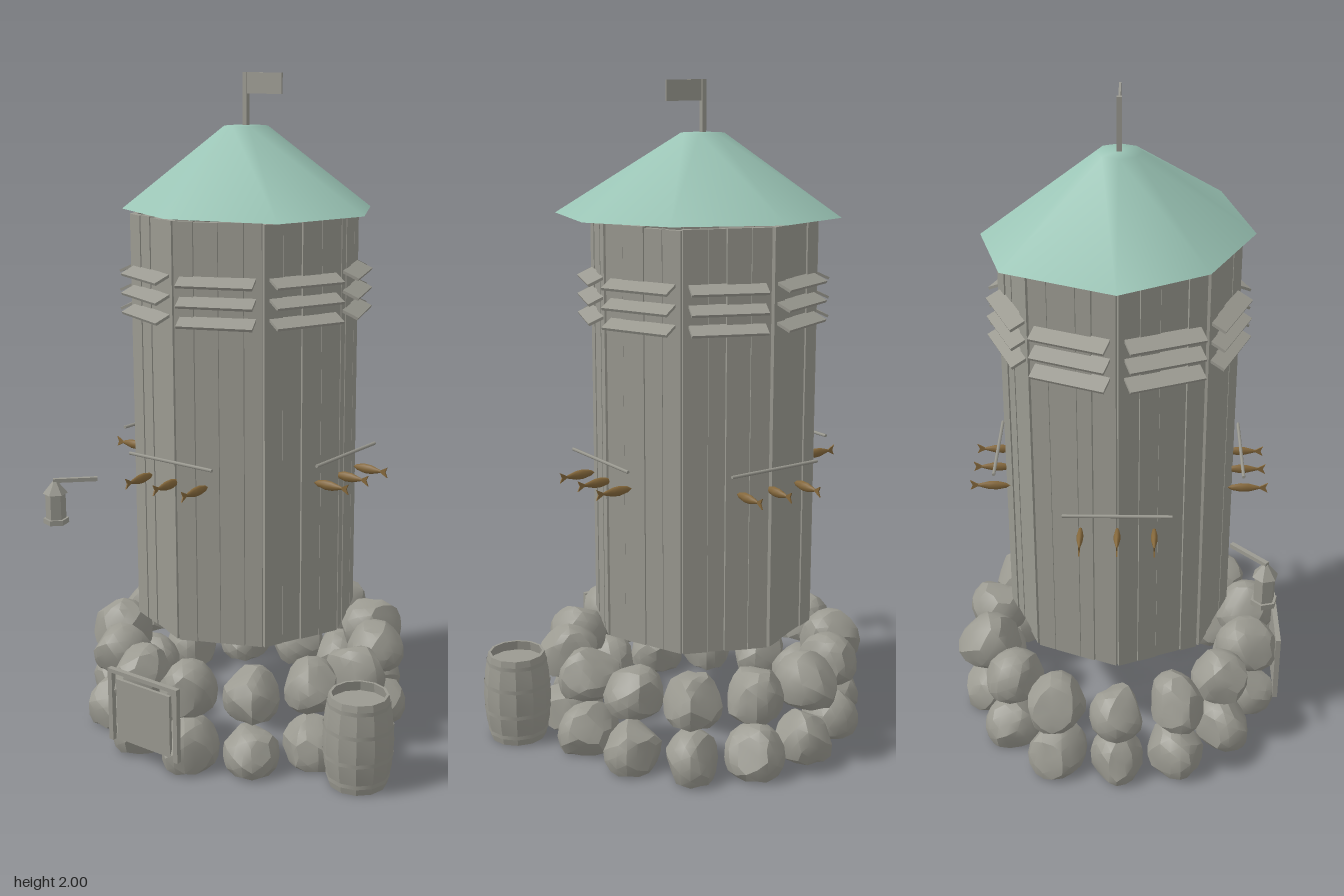
import * as THREE from 'three';
import { mergeVertices, toCreasedNormals } from 'three/addons/utils/BufferGeometryUtils.js';

const AXIS_X = -0.08; // tower axis

export function createModel() {
  const model = new THREE.Group();
  model.name = 'stoneBasedTower';

  const mat = (name, color, side = THREE.FrontSide) => {
    const m = new THREE.MeshStandardMaterial({ color, side });
    m.name = name;
    return m;
  };
  const grey = mat('weathered grey', 0x9b9a91, THREE.DoubleSide);
  const green = mat('copper green', 0x9ac4b5, THREE.DoubleSide);
  const brown = mat('dried fish brown', 0x86693c, THREE.DoubleSide);

  let seed = 7;
  const rand = (a, b) => {
    seed = (seed * 16807) % 2147483647;
    return a + (b - a) * (seed / 2147483647);
  };
  const add = (parent, name, geo, material, x = 0, y = 0, z = 0) => {
    const mesh = new THREE.Mesh(geo, material);
    mesh.name = name;
    mesh.position.set(x, y, z);
    parent.add(mesh);
    return mesh;
  };
  const box = (parent, name, w, h, d, x, y, z) =>
    add(parent, name, new THREE.BoxGeometry(w, h, d), grey, x, y, z);
  // Group on the tower axis whose local +z points outward at the given angle
  const spoke = (name, angle) => {
    const g = new THREE.Group();
    g.name = name;
    g.position.x = AXIS_X;
    g.rotation.y = angle;
    model.add(g);
    return g;
  };

  // Foundation: two rings of flat-bottomed boulders
  const boulder = () => {
    let geo = new THREE.IcosahedronGeometry(1, 2);
    geo.deleteAttribute('uv');
    geo.deleteAttribute('normal');
    geo = mergeVertices(geo);
    const cuts = [];
    for (let i = 0; i < 9; i++) {
      const n = new THREE.Vector3(rand(-1, 1), rand(-0.3, 1), rand(-1, 1)).normalize();
      cuts.push([n, rand(0.76, 0.92)]);
    }
    const pos = geo.attributes.position;
    const v = new THREE.Vector3();
    for (let i = 0; i < pos.count; i++) {
      v.fromBufferAttribute(pos, i);
      for (const [n, d] of cuts) {
        const over = v.dot(n) - d;
        if (over > 0) v.addScaledVector(n, -over);
      }
      v.y = Math.max(v.y, -0.5);
      pos.setXYZ(i, v.x, v.y, v.z);
    }
    geo.scale(rand(0.084, 0.092), rand(0.094, 0.104), rand(0.094, 0.105));
    geo.computeBoundingBox();
    geo.translate(0, -geo.boundingBox.min.y, 0);
    return toCreasedNormals(geo, 0.45);
  };
  for (const y of [0.005, 0.185]) {
    for (let i = 0; i < 14; i++) {
      const g = spoke('foundationStone', Math.PI / 2 + (i * Math.PI * 2) / 14);
      add(g, 'boulder', boulder(), grey, 0, y, 0.415 + rand(-0.01, 0.01));
    }
  }

  // Tower: eight plank walls, each with three slanted louvre slats
  for (let k = 0; k < 8; k++) {
    const wall = spoke('wall', Math.PI / 8 + (k * Math.PI) / 4);
    const half = 0.128;
    const cuts = [-half, -0.066 + rand(-0.015, 0.015), rand(-0.012, 0.012),
      0.066 + rand(-0.015, 0.015), half];
    for (let i = 0; i < 4; i++) {
      const w = cuts[i + 1] - cuts[i];
      const top = 1.607 - rand(0, 0.012);
      box(wall, 'plank', w - 0.002, top - 0.352, 0.02,
        (cuts[i] + cuts[i + 1]) / 2, (top + 0.352) / 2, 0.308 + rand(-0.003, 0.003));
    }
    for (const y of [1.32, 1.377, 1.434]) {
      box(wall, 'louvreSlat', 0.222, 0.008, 0.052, 0, y, 0.338).rotation.x = 0.44;
    }
  }

  // Roof: uneven eight-sided cone with a blunt top
  const rim = [[0.005, 0.382], [0.333, 0.298], [0.415, 0], [0.28, -0.245],
    [-0.01, -0.387], [-0.273, -0.312], [-0.41, 0], [-0.273, 0.245]];
  let roof = new THREE.LatheGeometry([
    new THREE.Vector2(0.4, 1.61), new THREE.Vector2(0.065, 1.848), new THREE.Vector2(0, 1.85),
  ], 8);
  const rp = roof.attributes.position;
  for (let i = 0; i < rp.count; i++) {
    if (rp.getY(i) > 1.62) continue;
    const [x, z] = rim[Math.floor(i / 3) % 8];
    rp.setXYZ(i, x, 1.61, z);
  }
  roof.deleteAttribute('uv');
  roof.deleteAttribute('normal');
  roof = mergeVertices(roof);
  roof.computeVertexNormals();
  add(model, 'roof', roof, green, AXIS_X);

  // Flag
  box(model, 'flagPole', 0.014, 0.16, 0.014, AXIS_X, 1.92, 0);
  box(model, 'flag', 0.13, 0.06, 0.006, AXIS_X + 0.065, 1.97, 0);

  // Drying racks with three fish on each of the four sides
  const bodyGeo = new THREE.LatheGeometry([
    [0, -0.058], [0.009, -0.045], [0.015, -0.018], [0.014, 0.005], [0.007, 0.03], [0.003, 0.042],
  ].map(([r, y]) => new THREE.Vector2(r, y)), 8);
  bodyGeo.rotateX(Math.PI / 2).scale(0.65, 1, 1);
  const tail = new THREE.Shape();
  tail.moveTo(0.036, 0.002);
  tail.lineTo(0.062, 0.016);
  tail.lineTo(0.055, 0);
  tail.lineTo(0.062, -0.016);
  tail.lineTo(0.036, -0.002);
  const tailGeo = new THREE.ExtrudeGeometry(tail, { depth: 0.004, bevelEnabled: false });
  tailGeo.translate(0, 0, -0.002).rotateY(-Math.PI / 2);
  for (let k = 0; k < 4; k++) {
    const rack = spoke('fishRack', (k * Math.PI) / 2);
    const rod = new THREE.CylinderGeometry(0.005, 0.005, 0.31, 6);
    add(rack, 'rackRod', rod, grey, 0, 0.91, 0.367).rotation.z = Math.PI / 2;
    for (const x of [-0.105, 0, 0.105]) {
      const fish = new THREE.Group();
      fish.name = 'fish';
      fish.position.set(x, 0.842, 0.382);
      add(fish, 'fishBody', bodyGeo, brown);
      add(fish, 'fishTail', tailGeo, brown);
      rack.add(fish);
    }
  }

  // Lantern on its arm
  const lantern = spoke('lantern', -Math.PI / 4);
  box(lantern, 'lanternArm', 0.014, 0.012, 0.135, 0, 0.79, 0.53);
  const hex = (name, top, bottom, y0, y1) => {
    const geo = new THREE.CylinderGeometry(top, bottom, y1 - y0, 6).toNonIndexed();
    geo.computeVertexNormals();
    add(lantern, name, geo, grey, 0, (y0 + y1) / 2, 0.592);
  };
  hex('lanternCap', 0.008, 0.038, 0.75, 0.787);
  hex('lanternBody', 0.031, 0.031, 0.668, 0.75);
  hex('lanternBase', 0.039, 0.039, 0.655, 0.671);

  // Barrel with open rim, sunken lid and hoops
  const barrel = new THREE.Group();
  barrel.name = 'barrel';
  barrel.position.set(0.475, 0, 0.205);
  model.add(barrel);
  const staves = new THREE.LatheGeometry([
    [0, 0.003], [0.086, 0.003], [0.098, 0.06], [0.104, 0.14], [0.098, 0.22], [0.087, 0.28],
    [0.079, 0.28], [0.084, 0.25], [0, 0.25],
  ].map(([r, y]) => new THREE.Vector2(r, y)), 12);
  add(barrel, 'staves', toCreasedNormals(staves, 0.35), grey);
  for (const [y, r] of [[0.03, 0.093], [0.1, 0.103], [0.185, 0.103], [0.255, 0.093]]) {
    add(barrel, 'hoop', new THREE.CylinderGeometry(r, r, 0.012, 12, 1, true), grey, 0, y, 0);
  }

  // Notice board
  for (const x of [-0.205, 0.045]) {
    box(model, 'boardPost', 0.016, 0.23, 0.016, x, 0.17, 0.505);
  }
  box(model, 'boardTopRail', 0.266, 0.012, 0.016, AXIS_X, 0.279, 0.505);
  box(model, 'boardPanel', 0.205, 0.192, 0.01, AXIS_X, 0.16, 0.505);

  return model;
}
